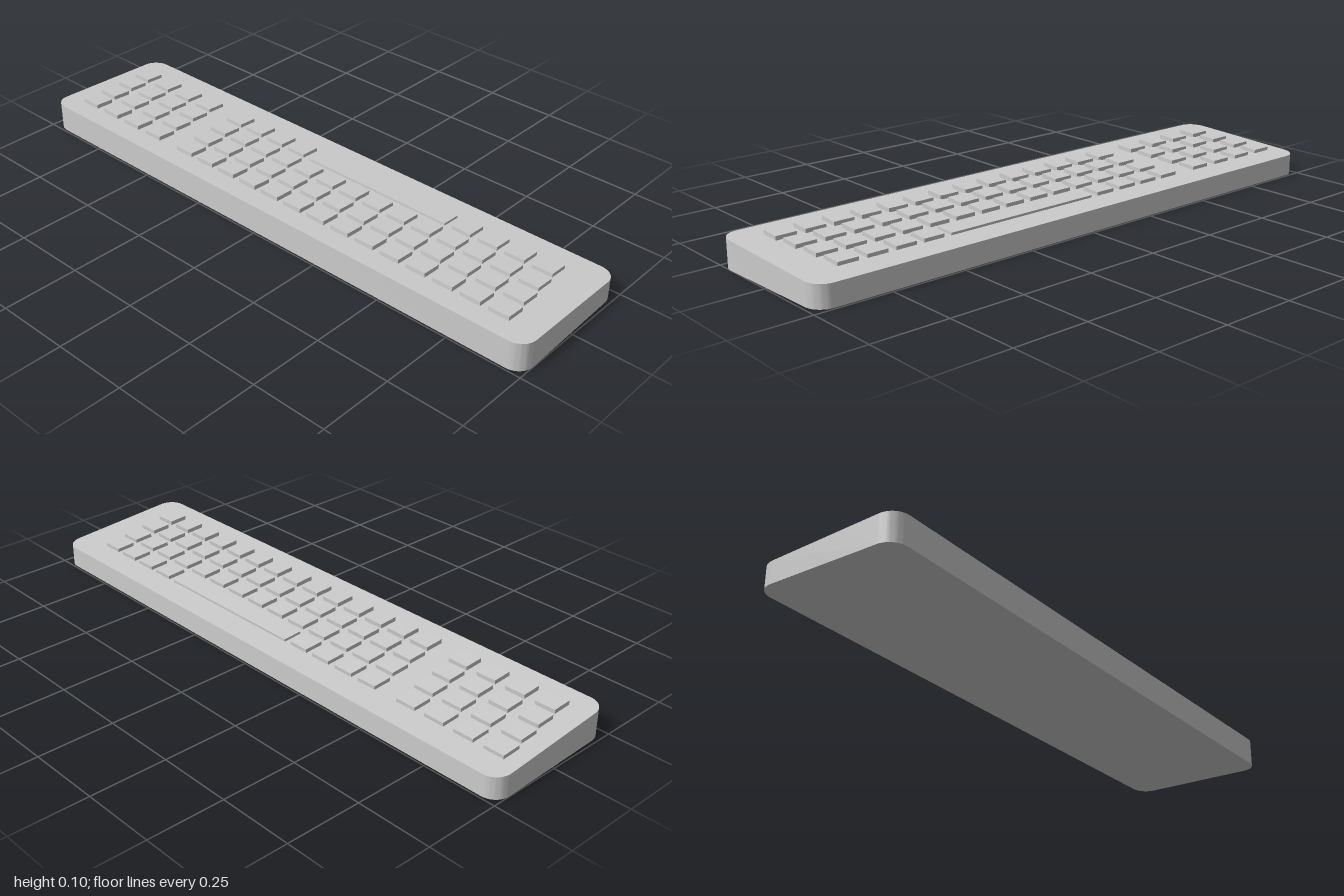
import * as THREE from 'three';
import { toCreasedNormals } from 'three/addons/utils/BufferGeometryUtils.js';

const material = new THREE.MeshStandardMaterial({ color: 0xcccccc });
const HALF_W = 0.243, HALF_L = 0.994, RADIUS = 0.055;
const SLOPE = 0.055; // tilt of the key rows
const deckHeight = (x) => 0.0825 - 0.048 * x;
const keyTop = (x) => 0.0953 - SLOPE * x;

// Wedge-shaped case: rounded outline, sloping top, slightly slanted ends
function createCase() {
  const w = HALF_W, l = HALF_L, r = RADIUS;
  const s = new THREE.Shape();
  s.moveTo(w, -l + r);
  s.lineTo(w, l - r);
  s.absarc(w - r, l - r, r, 0, Math.PI / 2);
  s.absarc(-w + r, l - r, r, Math.PI / 2, Math.PI);
  s.absarc(-w + r, -l + r, r, Math.PI, Math.PI * 1.5);
  s.absarc(w - r, -l + r, r, Math.PI * 1.5, Math.PI * 2);
  const geo = new THREE.ExtrudeGeometry(s, { depth: 1, bevelEnabled: false, curveSegments: 6 });
  geo.rotateX(-Math.PI / 2);
  const p = geo.attributes.position;
  for (let i = 0; i < p.count; i++) {
    const x = p.getX(i);
    p.setY(i, p.getY(i) > 0.5 ? deckHeight(x) : 0);
    p.setZ(i, p.getZ(i) - 0.03 * x);
  }
  const mesh = new THREE.Mesh(toCreasedNormals(geo, 0.5), material);
  mesh.name = 'case';
  return mesh;
}

// One tilted key cap, partly sunk into the deck
function createKey(name, x, z, length = 0.07, drop = 0) {
  const height = 0.018;
  const key = new THREE.Mesh(new THREE.BoxGeometry(0.065, height, length), material);
  key.position.set(x, keyTop(x) - drop - height / 2, z);
  key.rotation.z = -SLOPE;
  key.name = name;
  return key;
}

export function createModel() {
  const model = new THREE.Group();
  model.name = 'keyboard';
  model.add(createCase());

  const mainKeys = new THREE.Group();
  mainKeys.name = 'mainKeys';
  const numberPad = new THREE.Group();
  numberPad.name = 'numberPad';
  const pitch = 0.0969;

  // Four rows, each staggered a little along the case
  for (let row = 0; row < 4; row++) {
    const x = -0.138 + row * 0.087;
    const shift = -0.0115 * row;
    for (let i = 0; i < 14; i++) {
      if (row === 3 && i > 3 && i < 10) continue; // room for the space bar
      mainKeys.add(createKey('key', x, -0.397 + i * pitch + shift));
    }
    for (let i = 0; i < 4; i++) {
      numberPad.add(createKey('padKey', x, -0.876 + i * 0.1075 + shift));
    }
  }

  // Long space bar in the last row, a little lower than the keys
  mainKeys.add(createKey('spaceBar', 0.123, -0.397 + 6.5 * pitch - 0.0345, 0.556, 0.004));

  model.add(mainKeys, numberPad);
  return model;
}
